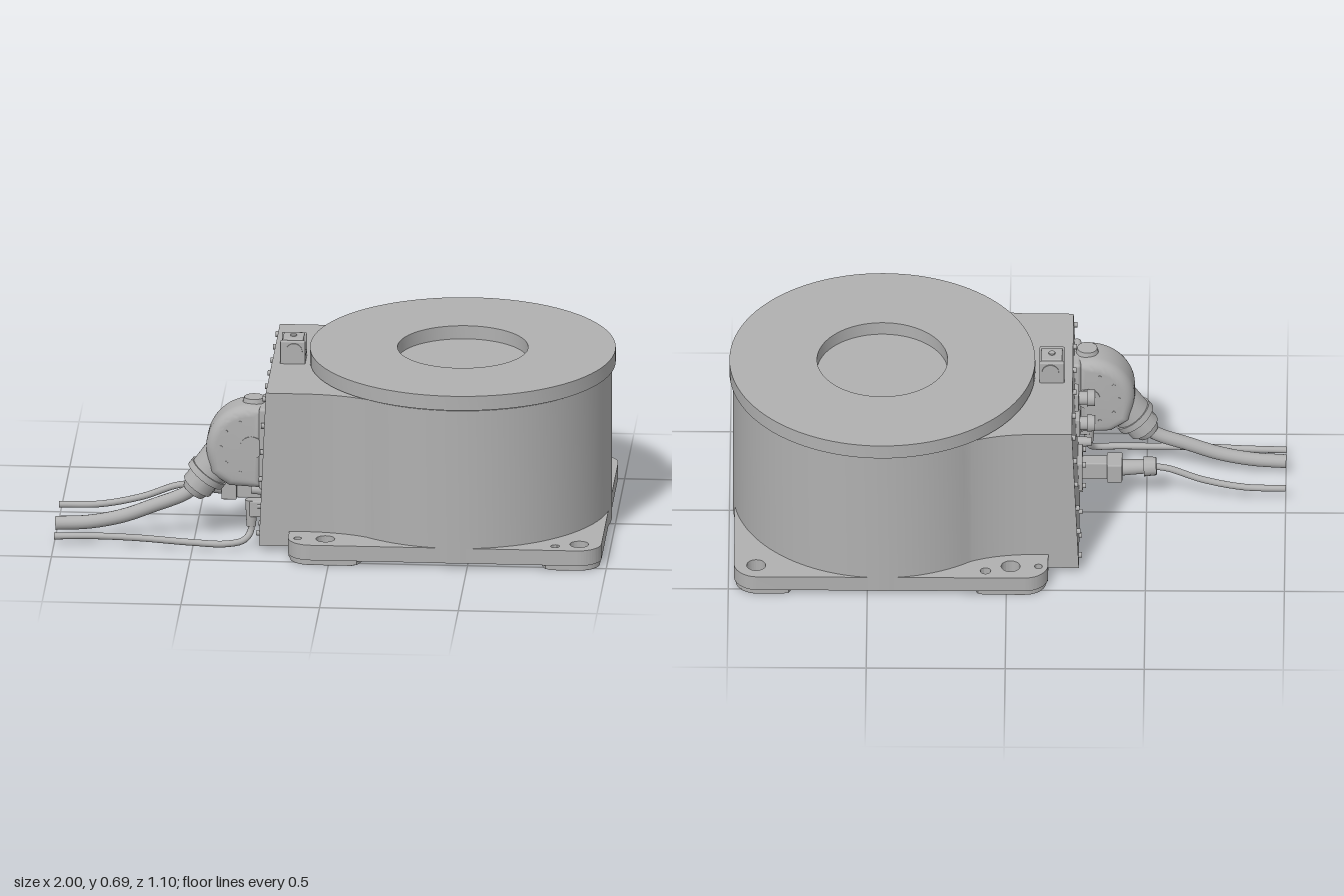
import * as THREE from 'three';
import { toCreasedNormals } from 'three/addons/utils/BufferGeometryUtils.js';
import { RoundedBoxGeometry } from 'three/addons/geometries/RoundedBoxGeometry.js';

const grey = new THREE.MeshStandardMaterial({ color: 0xb0b0b0 });
grey.name = 'machineGrey';
const padGrey = new THREE.MeshStandardMaterial({ color: 0x9a9a9a });
padGrey.name = 'padGrey';

const CX = 0.45; // axis of the drum
const V = (x, y, z) => new THREE.Vector3(x, y, z);

function add(parent, name, geometry, material = grey) {
  const mesh = new THREE.Mesh(geometry, material);
  mesh.name = name;
  parent.add(mesh);
  return mesh;
}

// Round bar from a to b, with radius ra at a and rb at b
function rod(parent, name, a, b, ra, rb = ra, sides = 24, material = grey) {
  const dir = b.clone().sub(a);
  const mesh = add(parent, name, new THREE.CylinderGeometry(rb, ra, dir.length(), sides), material);
  mesh.position.copy(a).add(b).multiplyScalar(0.5);
  mesh.quaternion.setFromUnitVectors(V(0, 1, 0), dir.normalize());
  return mesh;
}

function box(parent, name, x, y, z, w, h, d, r = 0.005) {
  const mesh = add(parent, name, new RoundedBoxGeometry(w, h, d, 2, r));
  mesh.position.set(x, y, z);
  return mesh;
}

// Extrude an outline drawn in (x, z) upwards from y0 to y1
function slab(shape, y0, y1) {
  const g = new THREE.ExtrudeGeometry(shape, { depth: y1 - y0, bevelEnabled: false, curveSegments: 40 });
  g.rotateX(Math.PI / 2);
  g.translate(0, y1, 0);
  return g;
}

function hole(shape, x, z, r) {
  const p = new THREE.Path();
  p.absarc(x, z, r, 0, Math.PI * 2, true);
  shape.holes.push(p);
}

function cable(parent, name, points, radius) {
  const curve = new THREE.CatmullRomCurve3(points);
  add(parent, name, new THREE.TubeGeometry(curve, 60, radius, 16));
  const end = points[points.length - 1];
  rod(parent, name + 'End', end.clone().add(V(0.004, 0, 0)), end, radius, radius, 16);
}

// x of the sloping connector face at height y
const faceX = (y) => -0.26 + 0.025 * (y - 0.02) / 0.58;

function buildBase(group) {
  const x0 = -0.15, x1 = 0.98, w = 0.535, r = 0.085;
  const s = new THREE.Shape();
  s.moveTo(x0 + r, -w);
  s.lineTo(x1 - r, -w);
  s.absarc(x1 - r, -w + r, r, -Math.PI / 2, 0);
  s.absarc(x1 - r, w - r, r, 0, Math.PI / 2);
  s.absarc(x0 + r, w - r, r, Math.PI / 2, Math.PI);
  s.absarc(x0 + r, -w + r, r, Math.PI, Math.PI * 1.5);
  for (const x of [-0.015, 0.9]) for (const z of [-0.46, 0.46]) hole(s, x, z, 0.034);
  for (const z of [-0.46, 0.46]) hole(s, -0.115, z, 0.014);
  hole(s, 0.075, -0.49, 0.019);
  hole(s, 0.815, 0.487, 0.016);
  add(group, 'basePlate', toCreasedNormals(slab(s, 0.02, 0.077), 0.6));

  // Round feet under the bolt holes, trimmed by the plate edges
  for (const hx of [-0.015, 0.9]) for (const hz of [-0.46, 0.46]) {
    const foot = (radius) => {
      const f = new THREE.Shape();
      for (let i = 0; i < 48; i++) {
        const a = i / 48 * Math.PI * 2;
        let x = hx + Math.cos(a) * radius, z = hz + Math.sin(a) * radius;
        x = Math.min(x, x1 - 0.006);
        z = THREE.MathUtils.clamp(z, -w + 0.006, w - 0.006);
        // keep within the rounded outer corner
        const sx = hx > 0.4 ? 1 : -1, sz = Math.sign(hz);
        const cx = sx > 0 ? x1 - r : x0 + r, cz = sz * (w - r);
        const dx = (x - cx) * sx, dz = (z - cz) * sz, d = Math.hypot(dx, dz);
        if (dx > 0 && dz > 0 && d > r - 0.006) {
          x = cx + sx * dx / d * (r - 0.006);
          z = cz + sz * dz / d * (r - 0.006);
        }
        if (i) f.lineTo(x, z); else f.moveTo(x, z);
      }
      hole(f, hx, hz, 0.034);
      return f;
    };
    add(group, 'foot', toCreasedNormals(slab(foot(0.135), 0.003, 0.021), 0.6));
    add(group, 'footPad', slab(foot(0.125), 0, 0.003), padGrey);
  }
}

function buildHousing(group) {
  // Drum that flares into a straight-sided connector box
  const R = 0.537, jx = 0.13, jz = Math.sqrt(R * R - (CX - jx) ** 2);
  const a = Math.atan2(jz, jx - CX);
  const s = new THREE.Shape();
  s.moveTo(-0.235, -0.385);
  s.lineTo(-0.1, -0.385);
  s.quadraticCurveTo(0.03, -0.385, jx, -jz);
  s.absarc(CX, 0, R, -a, a);
  s.quadraticCurveTo(0.03, 0.385, -0.1, 0.385);
  s.lineTo(-0.235, 0.385);
  s.closePath();
  const g = slab(s, 0.02, 0.6);
  const p = g.attributes.position;
  for (let i = 0; i < p.count; i++) if (p.getX(i) < -0.23) p.setX(i, faceX(p.getY(i)));
  add(group, 'housing', toCreasedNormals(g, 0.5));

  // Turntable disc with a shallow central recess
  const profile = [[0, 0.61], [0.235, 0.61], [0.235, 0.66], [0.55, 0.66], [0.55, 0.606], [0.52, 0.606], [0.52, 0.598]]
    .reverse().map(([r, y]) => new THREE.Vector2(r, y));
  const disc = add(group, 'turntable', toCreasedNormals(new THREE.LatheGeometry(profile, 96), 0.5));
  disc.position.x = CX;

  // Screws around the rim of the connector face
  const screw = (y, z) => rod(group, 'coverScrew', V(faceX(y) + 0.002, y, z), V(faceX(y) - 0.012, y, z), 0.01, 0.01, 10);
  for (let i = 0; i < 6; i++) for (const z of [-0.36, 0.36]) screw(0.06 + i * 0.102, z);
  for (const z of [-0.22, -0.07, 0.07, 0.22]) { screw(0.57, z); screw(0.05, z); }
}

function buildTopBlock(group) {
  // Small locking block beside the turntable
  box(group, 'lockBase', -0.16, 0.61, 0, 0.09, 0.03, 0.11);
  for (const z of [-0.046, 0.046]) box(group, 'lockCheek', -0.16, 0.645, z, 0.09, 0.08, 0.018);
  box(group, 'lockBody', -0.16, 0.65, 0, 0.075, 0.08, 0.08);
  rod(group, 'lockPin', V(-0.155, 0.648, -0.059), V(-0.155, 0.648, 0.059), 0.03);
  rod(group, 'lockScrew', V(-0.16, 0.685, 0), V(-0.16, 0.695, 0), 0.012, 0.012, 12);
}

function buildPowerConnector(group) {
  const Z = 0.255;
  // Rounded elbow hood
  const s = new THREE.Shape();
  s.moveTo(-0.28, 0.25);
  s.lineTo(-0.28, 0.49);
  s.bezierCurveTo(-0.35, 0.5, -0.42, 0.44, -0.42, 0.36);
  s.lineTo(-0.41, 0.29);
  s.lineTo(-0.36, 0.255);
  s.closePath();
  const g = new THREE.ExtrudeGeometry(s, {
    depth: 0.075, bevelEnabled: true, bevelSize: 0.036, bevelThickness: 0.045, bevelSegments: 6, curveSegments: 20,
  });
  g.translate(0, 0, Z - 0.0375);
  add(group, 'elbowHood', toCreasedNormals(g, 0.7));
  box(group, 'hoodFlange', -0.248, 0.37, Z, 0.03, 0.31, 0.18, 0.012);
  rod(group, 'hoodKnob', V(-0.285, 0.5, Z), V(-0.285, 0.542, Z), 0.046, 0.036);
  for (const k of [-1, 1]) {
    rod(group, 'hoodSideBoss', V(-0.29, 0.375, Z), V(-0.29, 0.375, Z + k * 0.086), 0.042);
    for (let i = 0; i < 5; i++) {
      const a = Math.PI * (0.6 + i * 0.2);
      const x = -0.3 + Math.cos(a) * 0.1, y = 0.375 + Math.sin(a) * 0.1;
      rod(group, 'hoodRivet', V(x, y, Z), V(x, y, Z + k * 0.084), 0.006, 0.006, 8);
    }
  }
  // Outlet collars, stepping down to the cable
  const at = (t) => V(-0.38 - 0.6 * t, 0.345 - 0.8 * t, Z);
  rod(group, 'outletNeck', at(0), at(0.11), 0.072, 0.07);
  rod(group, 'outletRing', at(0.11), at(0.135), 0.076);
  rod(group, 'outletNut', at(0.135), at(0.185), 0.06, 0.06, 12);
  rod(group, 'outletTip', at(0.185), at(0.21), 0.052, 0.042);
  cable(group, 'powerCable', [at(0.18), V(-0.54, 0.165, 0.256), V(-0.64, 0.125, 0.26), V(-0.76, 0.08, 0.262),
    V(-0.88, 0.055, 0.262), V(-1, 0.047, 0.26)], 0.025);
}

function buildSignalConnectors(group) {
  // Straight plug
  const Y = 0.14, Z = 0.08;
  box(group, 'plugFlange', -0.26, Y, Z, 0.02, 0.12, 0.13);
  for (const dy of [-0.045, 0.045]) for (const dz of [-0.05, 0.05])
    rod(group, 'plugScrew', V(-0.26, Y + dy, Z + dz), V(-0.282, Y + dy, Z + dz), 0.01, 0.01, 10);
  box(group, 'plugSocket', -0.31, Y, Z, 0.1, 0.07, 0.055);
  box(group, 'plugBlock', -0.385, Y, Z, 0.055, 0.075, 0.09);
  rod(group, 'plugBarrel', V(-0.4, Y, Z), V(-0.49, Y + 0.005, Z), 0.03, 0.026);
  rod(group, 'plugNut', V(-0.49, Y + 0.005, Z), V(-0.535, Y + 0.007, Z), 0.036, 0.033, 12);
  cable(group, 'signalCable', [V(-0.52, 0.147, Z), V(-0.58, 0.137, 0.079), V(-0.7, 0.092, 0.077),
    V(-0.85, 0.06, 0.076), V(-1, 0.055, 0.076)], 0.012);

  // Round capped sockets beside the hood
  for (const y of [0.34, 0.45]) {
    box(group, 'socketFlange', faceX(y) - 0.005, y, 0.07, 0.02, 0.075, 0.075);
    rod(group, 'socketBarrel', V(faceX(y), y, 0.07), V(-0.3, y, 0.07), 0.025);
    rod(group, 'socketCap', V(-0.285, y, 0.07), V(-0.315, y, 0.07), 0.031, 0.029);
  }

  // Downward gland with its looping cable
  box(group, 'glandBlock', -0.27, 0.15, 0.34, 0.05, 0.06, 0.05);
  rod(group, 'gland', V(-0.29, 0.18, 0.34), V(-0.29, 0.08, 0.34), 0.022, 0.017);
  cable(group, 'loopCable', [V(-0.29, 0.1, 0.34), V(-0.292, 0.06, 0.343), V(-0.315, 0.034, 0.368), V(-0.38, 0.024, 0.386),
    V(-0.5, 0.026, 0.383), V(-0.7, 0.034, 0.368), V(-0.86, 0.034, 0.357), V(-1, 0.03, 0.357)], 0.012);

  // Small bleed fitting under the hood
  rod(group, 'fitting', V(-0.25, 0.17, 0.2), V(-0.3, 0.17, 0.2), 0.02, 0.016, 12);
}

export function createModel() {
  const model = new THREE.Group();
  model.name = 'rotaryTable';
  const parts = {
    base: buildBase, body: buildHousing, lockBlock: buildTopBlock,
    powerConnector: buildPowerConnector, signalConnectors: buildSignalConnectors,
  };
  for (const [name, build] of Object.entries(parts)) {
    const group = new THREE.Group();
    group.name = name;
    build(group);
    model.add(group);
  }
  return model;
}
